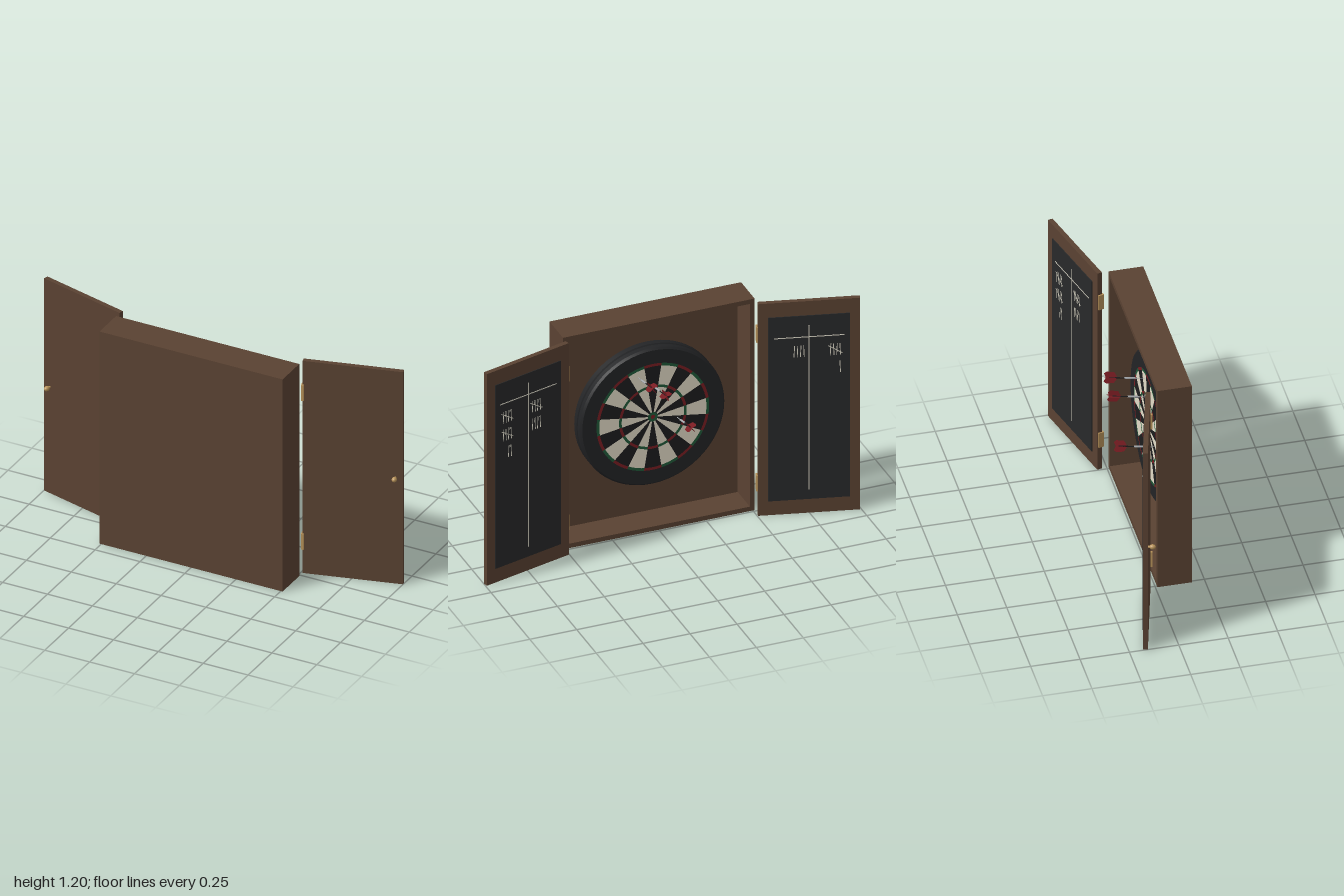
import * as THREE from 'three';
import { mergeGeometries, toCreasedNormals } from 'three/addons/utils/BufferGeometryUtils.js';

const mat = (color, side = THREE.FrontSide) => new THREE.MeshStandardMaterial({ color, side });
const WOOD = mat(0x5a4232), SLATE = mat(0x28292a), CHALK = mat(0xd8d4c4), BRASS = mat(0xb8935a);
const BLACK = mat(0x1c1c1e), RIM = mat(0x232426), CREAM = mat(0xe4dcc8), RED = mat(0x7a1e22), GREEN = mat(0x1f5a38);
const STEEL = mat(0xa8acb0), FLIGHT = mat(0x7a1c22, THREE.DoubleSide);

function add(parent, name, geometry, material, x = 0, y = 0, z = 0) {
  const mesh = new THREE.Mesh(geometry, material);
  mesh.name = name;
  mesh.position.set(x, y, z);
  parent.add(mesh);
  return mesh;
}
const box = (w, h, d) => new THREE.BoxGeometry(w, h, d);
const lathe = (pts, n) =>
  toCreasedNormals(new THREE.LatheGeometry(pts.map(p => new THREE.Vector2(...p)), n), 0.5);

// Open box with its mouth towards -z
function makeCabinet() {
  const g = new THREE.Group();
  g.name = 'cabinet';
  const t = 0.025, z = 0.0975, d = 0.175;
  for (const s of [-1, 1]) {
    add(g, 'sideWall', box(t, 1.2, d), WOOD, s * (0.51 - t / 2), 0.6, z);
    add(g, 'endWall', box(1.02 - 2 * t, t, d), WOOD, 0, 0.6 + s * (0.6 - t / 2), z);
  }
  add(g, 'panel', box(1.02 - 2 * t, 1.2 - 2 * t, 0.017), WOOD, 0, 0.6, 0.1765);
  return g;
}

// Round target with twenty wedges and scoring rings, built facing +z then turned
function makeTarget() {
  const g = new THREE.Group();
  g.name = 'target';
  g.position.set(0, 0.6, 0.168);
  g.rotation.y = Math.PI;
  const body = lathe([[0.385, 0], [0.385, 0.03], [0.378, 0.034], [0.378, 0.04], [0.385, 0.044],
    [0.385, 0.07], [0.375, 0.08], [0, 0.08]], 64);
  add(g, 'targetBody', body.rotateX(Math.PI / 2), RIM);

  const step = Math.PI / 10;
  const wedges = (r0, r1, parity) => {
    const parts = [];
    for (let i = parity; i < 20; i += 2)
      parts.push(new THREE.RingGeometry(r0, r1, 5, 1, Math.PI / 2 + (i - 0.5) * step, step));
    return parts;
  };
  const face = 0.0815;
  const layers = [['dark', BLACK, 0], ['light', CREAM, 1]];
  for (const [name, m, p] of layers)
    add(g, name + 'Wedges', mergeGeometries([...wedges(0.026, 0.166, p), ...wedges(0.18, 0.285, p)]), m, 0, 0, face);
  const rings = [['red', RED, 0], ['green', GREEN, 1]];
  for (const [name, m, p] of rings)
    add(g, name + 'RingSegments', mergeGeometries([...wedges(0.166, 0.18, p), ...wedges(0.285, 0.3, p)]), m, 0, 0, face);
  add(g, 'outerBull', new THREE.RingGeometry(0.011, 0.026, 24), GREEN, 0, 0, face);
  add(g, 'innerBull', new THREE.CircleGeometry(0.011, 24), RED, 0, 0, face);
  return g;
}

// Dart along +y from its tip, turned so the flight points to -z and slightly up
function makeDart(x, y, roll) {
  const g = new THREE.Group();
  g.name = 'dart';
  g.position.set(x, y, 0.09);
  g.rotation.x = -Math.PI / 2 + 0.2;
  const body = lathe([[0, 0], [0.002, 0.012], [0.002, 0.045], [0.005, 0.052], [0.0055, 0.1], [0.004, 0.108], [0, 0.108]], 10);
  add(g, 'point', body, STEEL);
  add(g, 'shaft', new THREE.CylinderGeometry(0.0028, 0.0028, 0.085, 8), BLACK, 0, 0.145, 0);
  const fin = new THREE.Shape([[0, 0.142], [0.027, 0.16], [0.029, 0.2], [0.02, 0.213], [0, 0.203],
    [-0.02, 0.213], [-0.029, 0.2], [-0.027, 0.16]].map(p => new THREE.Vector2(...p)));
  for (let i = 0; i < 2; i++)
    add(g, 'flight', new THREE.ShapeGeometry(fin), FLIGHT).rotation.y = roll + i * Math.PI / 2;
  return g;
}

// Bundle of chalk strokes; a fifth stroke crosses the others
function tally(u, y, count) {
  const parts = [];
  for (let i = 0; i < Math.min(count, 4); i++)
    parts.push(box(0.004, 0.065, 0.001).rotateZ(0.05 * (i % 2 ? 1 : -1)).translate(u + (i - 1.5) * 0.016, y, 0));
  if (count === 5) parts.push(box(0.004, 0.085, 0.001).rotateZ(-1.0).translate(u, y, 0));
  return parts;
}

// Door hinged at the cabinet edge; s = 1 is the +x side
function makeDoor(s, outerTallies, innerTallies) {
  const g = new THREE.Group();
  g.name = s > 0 ? 'leftDoor' : 'rightDoor';
  g.position.set(s * 0.51, 0, -0.025);
  g.rotation.y = s * Math.PI / 12;
  const L = 0.507, mid = s * L / 2;
  add(g, 'doorPanel', box(L, 1.2, 0.025), WOOD, mid, 0.6, -0.0125);
  add(g, 'chalkboard', box(0.406, 1.04, 0.006), SLATE, mid, 0.6, -0.026);

  // Chalk score lines and tallies
  const marks = [box(0.005, 0.93, 0.001).translate(0, 0.6, 0), box(0.35, 0.005, 0.001).translate(0, 1.0, 0)];
  outerTallies.forEach((n, i) => marks.push(...tally(s * 0.13, 0.92 - i * 0.1, n)));
  innerTallies.forEach((n, i) => marks.push(...tally(s * -0.05, 0.92 - i * 0.1, n)));
  add(g, 'chalkMarks', mergeGeometries(marks), CHALK, mid, 0, -0.0295);

  // Knob and hinges
  add(g, 'knob', new THREE.SphereGeometry(0.013, 20, 14), BRASS, s * 0.468, 0.6, 0.022).scale.z = 1.25;
  add(g, 'knobStem', new THREE.CylinderGeometry(0.006, 0.006, 0.02, 12).rotateX(Math.PI / 2), BRASS, s * 0.468, 0.6, 0.008);
  for (const y of [0.18, 1.022])
    add(g, 'hinge', box(0.014, 0.088, 0.03), BRASS, 0, y, -0.006);
  return g;
}

export function createModel() {
  const model = new THREE.Group();
  model.name = 'dartboardCabinet';
  model.add(makeCabinet(), makeTarget());
  model.add(makeDoor(1, [5, 5, 2], [5, 4]), makeDoor(-1, [5, 1], [4]));
  const darts = [[0.08, 0.84, 0.5], [0.005, 0.78, 0.3], [-0.128, 0.57, 0.6]];
  for (const d of darts) model.add(makeDart(...d));
  return model;
}
